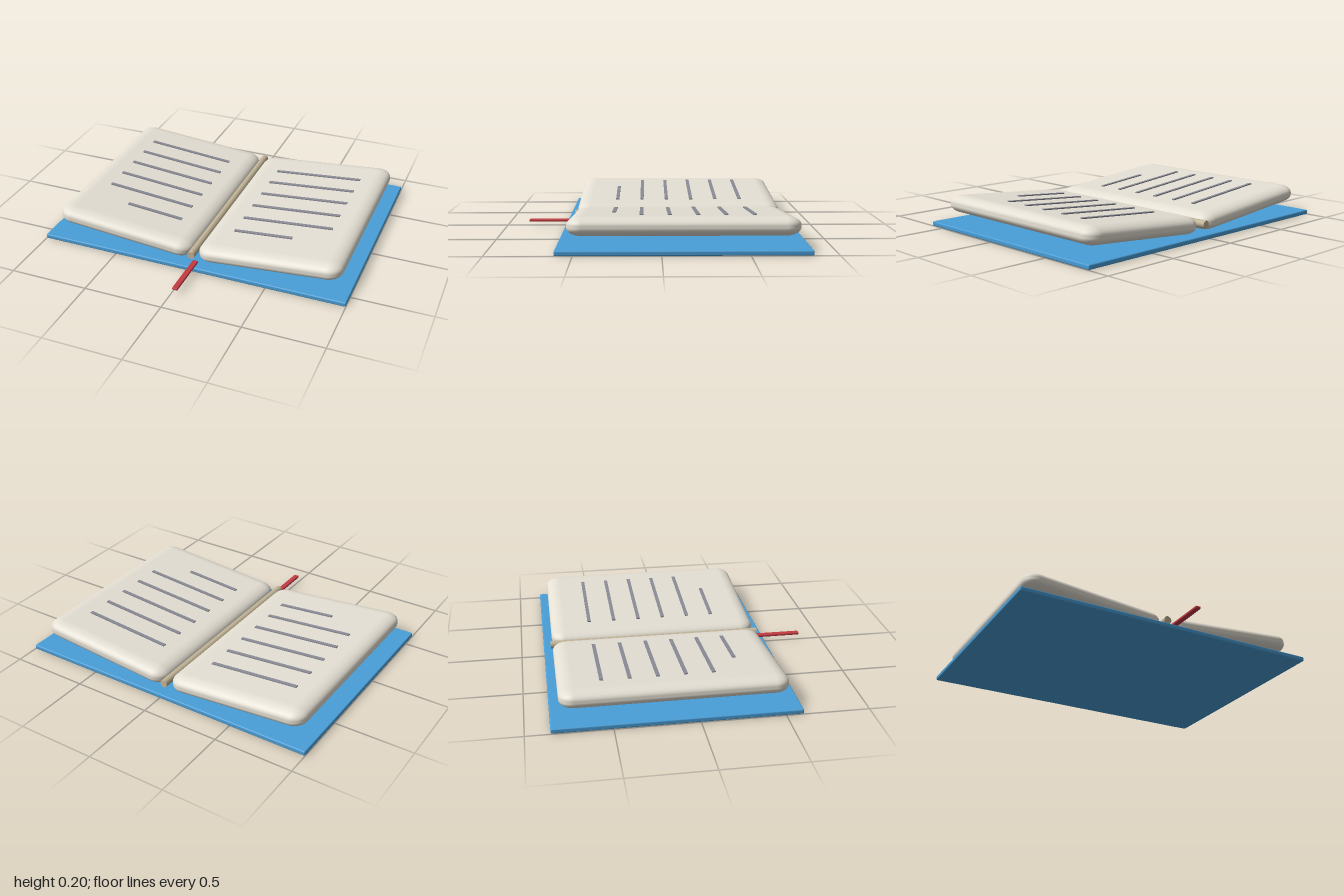
import * as THREE from 'three';
import { RoundedBoxGeometry } from 'three/addons/geometries/RoundedBoxGeometry.js';

const mat = (name, color) => {
  const m = new THREE.MeshStandardMaterial({ color });
  m.name = name;
  return m;
};

export function createModel() {
  const blue = mat('cover blue', 0x4a9fd8);
  const paper = mat('paper cream', 0xe4dfd3);
  const ink = mat('ink grey', 0x8b8c96);
  const tan = mat('spine tan', 0xc2b496);
  const red = mat('ribbon red', 0xc43a42);

  const model = new THREE.Group();
  model.name = 'openBook';
  const add = (parent, name, geometry, material, x, y, z) => {
    const mesh = new THREE.Mesh(geometry, material);
    mesh.name = name;
    mesh.position.set(x, y, z);
    parent.add(mesh);
    return mesh;
  };

  // Flat cover with slightly softened edges
  add(model, 'cover', new RoundedBoxGeometry(2, 0.03, 1.46, 2, 0.008), blue, 0, 0.015, -0.125);

  // Pillowy page blocks, tilted up towards the outer edges
  const tilt = 0.087, thick = 0.112;
  const pageGeo = new RoundedBoxGeometry(0.92, 0.2, 1.345, 5, 0.088);
  pageGeo.scale(1, thick / 0.2, 1);
  for (const side of [1, -1]) {
    const half = new THREE.Group();
    half.name = side > 0 ? 'leftHalf' : 'rightHalf';
    half.position.set(side * 0.48, 0.112, -0.128);
    half.rotation.z = side * tilt;
    model.add(half);
    add(half, 'pageBlock', pageGeo, paper, 0, 0, 0);

    // Ruled text lines, the last one shorter
    for (let i = 0; i < 6; i++) {
      const length = i < 5 ? 0.59 : 0.38;
      const x = side * (0.18 + length / 2 - 0.475);
      add(half, 'textLine', new THREE.BoxGeometry(length, 0.009, 0.022), ink,
        x, thick / 2 + 0.002, -0.417 + i * 0.165);
    }
  }

  // Spine rod in the gutter
  const rod = new THREE.CylinderGeometry(0.024, 0.024, 1.365, 16).rotateX(Math.PI / 2);
  add(model, 'spine', rod, tan, -0.003, 0.08, -0.128);

  // Ribbon bookmark hanging out of the front edge
  add(model, 'bookmark', new RoundedBoxGeometry(0.035, 0.016, 0.315, 2, 0.005), red, 0.023, 0.036, 0.6975);

  return model;
}
